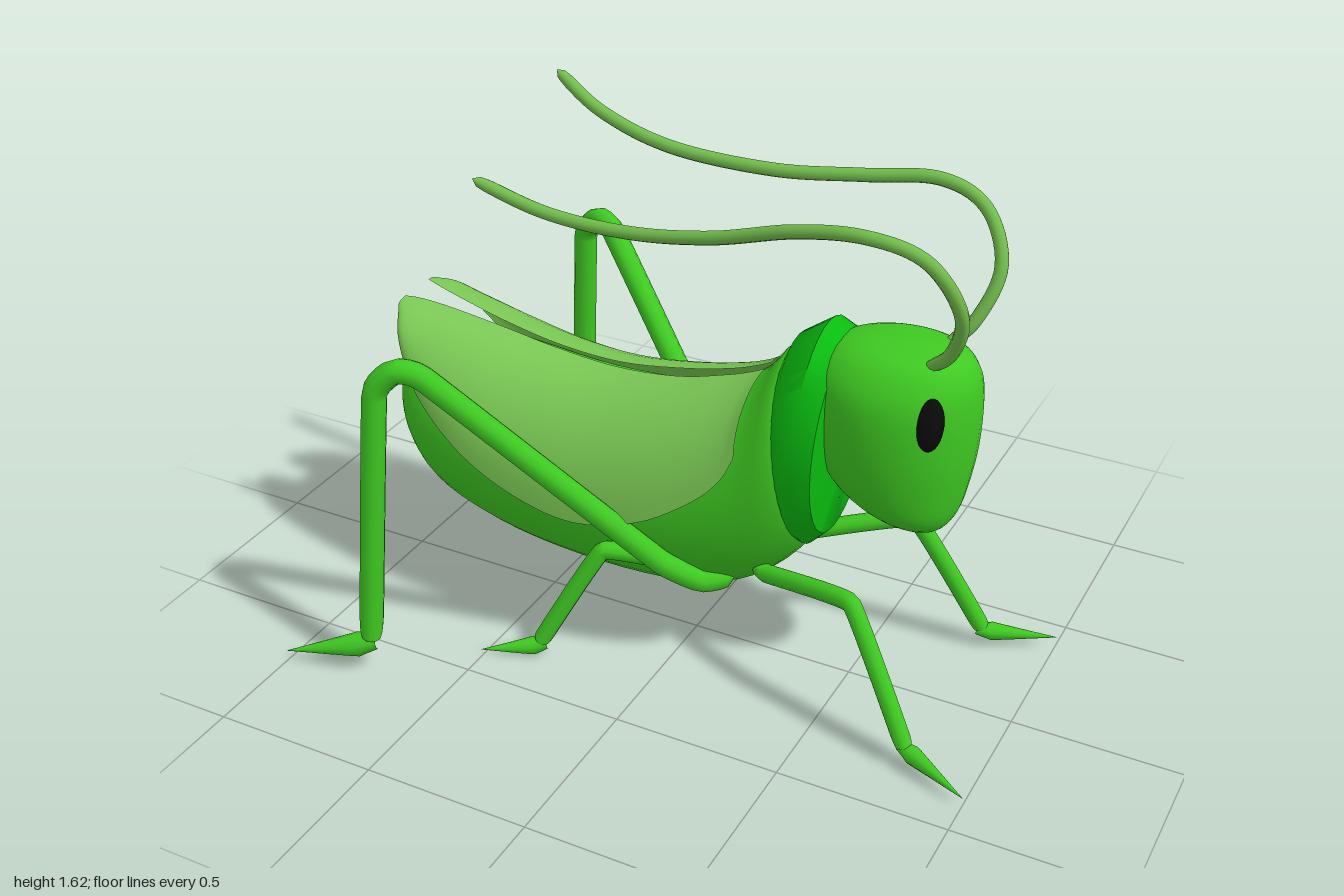
import * as THREE from 'three';
import { toCreasedNormals } from 'three/addons/utils/BufferGeometryUtils.js';

const V = (x, y, z) => new THREE.Vector3(x, y, z);
const material = (color, extra = {}) => new THREE.MeshStandardMaterial({ color, ...extra });
const green = material(0x3fca22);
const collarGreen = material(0x0abc10);
const wingGreen = material(0x7ac854, { side: THREE.DoubleSide });
const feelerGreen = material(0x72bd4c);
const black = material(0x0a0a0a);

function part(name, geometry, mat) {
  const mesh = new THREE.Mesh(geometry, mat);
  mesh.name = name;
  return mesh;
}

// Surface through rows of points; closed rows wrap around
function skin(rows, closed) {
  const n = rows[0].length;
  const index = [];
  for (let i = 0; i < rows.length - 1; i++) {
    for (let j = 0; j < (closed ? n : n - 1); j++) {
      const k = (j + 1) % n;
      const a = i * n + j, b = i * n + k, c = a + n, d = b + n;
      index.push(a, b, c, b, d, c);
    }
  }
  const g = new THREE.BufferGeometry().setFromPoints(rows.flat());
  g.setIndex(index);
  g.computeVertexNormals();
  return g;
}

// Elliptical sections [x1, y1, x2, y2, halfWidth]: two ends of one axis, half width along z
function loft(sections, steps, n = 36) {
  const top = new THREE.CatmullRomCurve3(sections.map(s => V(s[0], s[1], s[4])), false, 'catmullrom');
  const low = new THREE.CatmullRomCurve3(sections.map(s => V(s[2], s[3], 0)), false, 'catmullrom');
  const count = (sections.length - 1) * steps;
  const rows = [];
  for (let i = 0; i <= count; i++) {
    const t = top.getPoint(i / count), b = low.getPoint(i / count);
    const row = [];
    for (let j = 0; j < n; j++) {
      const a = j / n * Math.PI * 2, f = (1 + Math.cos(a)) / 2;
      row.push(V(b.x + (t.x - b.x) * f, b.y + (t.y - b.y) * f, t.z * Math.sin(a)));
    }
    rows.push(row);
  }
  return skin(rows, true);
}

// Tube along points whose radius follows profile(t); side mirrors z
function limb(points, side, radius, profile, tension, segments = 60) {
  const curve = new THREE.CatmullRomCurve3(points.map(p => V(p[0], p[1], p[2] * side)), false, 'catmullrom', tension);
  const radial = 10;
  const g = new THREE.TubeGeometry(curve, segments, radius, radial);
  const pos = g.attributes.position, v = V(0, 0, 0);
  for (let i = 0; i <= segments; i++) {
    const c = curve.getPointAt(i / segments), k = profile(i / segments);
    for (let j = 0; j <= radial; j++) {
      const id = i * (radial + 1) + j;
      v.fromBufferAttribute(pos, id).sub(c).multiplyScalar(k).add(c);
      pos.setXYZ(id, v.x, v.y, v.z);
    }
  }
  return g;
}
const rounded = t => Math.sqrt(Math.max(0, 1 - Math.pow(Math.abs(2 * t - 1), 40)));
const pointed = t => t < 0.2 ? 0.6 + 2 * t : 1.25 * (1 - t) + 0.02;

// Wing rows [x, top y, bottom y, inner z, outer z], arched over the body
function wing(side) {
  const s = [
    [-0.94, 0.94, 0.925, 0.06, 0.10], [-0.89, 0.935, 0.85, 0.045, 0.18], [-0.8, 0.92, 0.72, 0.03, 0.235],
    [-0.64, 0.89, 0.595, 0.015, 0.275], [-0.45, 0.86, 0.51, 0.01, 0.29], [-0.25, 0.85, 0.48, 0.015, 0.295],
    [-0.05, 0.875, 0.53, 0.025, 0.28], [0.1, 0.915, 0.62, 0.02, 0.25], [0.18, 0.945, 0.7, 0.02, 0.228],
    [0.22, 0.965, 0.78, 0.02, 0.215]];
  const ys = new THREE.CatmullRomCurve3(s.map(r => V(r[0], r[1], r[2])), false, 'catmullrom');
  const zs = new THREE.CatmullRomCurve3(s.map(r => V(r[3], r[4], 0)), false, 'catmullrom');
  const rows = [];
  for (let i = 0; i <= 45; i++) {
    const p = ys.getPoint(i / 45), q = zs.getPoint(i / 45), row = [];
    for (let j = 0; j <= 12; j++) {
      const a = j / 12 * Math.PI / 2;
      row.push(V(p.x, p.z + (p.y - p.z) * Math.cos(a), side * (q.x + (q.y - q.x) * Math.sin(a))));
    }
    rows.push(row);
  }
  return skin(rows, false);
}

const legs = {
  hindLeg: {
    r: 0.036,
    path: [[0.18, 0.315, 0.11], [0.1, 0.315, 0.17], [0.0, 0.39, 0.235], [-0.56, 0.985, 0.525],
      [-0.63, 1.005, 0.555], [-0.69, 0.93, 0.575], [-0.75, 0.1, 0.62]],
    foot: [[-0.735, 0.105, 0.612], [-0.82, 0.085, 0.645], [-1, 0.04, 0.7]],
  },
  middleLeg: {
    r: 0.027,
    path: [[0.1, 0.33, 0.11], [0.04, 0.34, 0.15], [-0.18, 0.375, 0.245], [-0.355, 0.045, 0.33]],
    foot: [[-0.335, 0.042, 0.322], [-0.39, 0.032, 0.35], [-0.51, 0.018, 0.41]],
  },
  frontLeg: {
    r: 0.027,
    path: [[0.24, 0.385, 0.09], [0.28, 0.365, 0.12], [0.59, 0.435, 0.235], [0.8, 0.06, 0.31]],
    foot: [[0.78, 0.062, 0.3], [0.84, 0.055, 0.325], [1, 0.038, 0.4]],
  },
};

export function createModel() {
  const model = new THREE.Group();
  model.name = 'grasshopper';

  // Abdomen and thorax
  model.add(part('body', loft([
    [-0.965, 0.66, -0.965, 0.65, 0], [-0.95, 0.76, -0.945, 0.5, 0.1], [-0.9, 0.83, -0.89, 0.38, 0.165],
    [-0.8, 0.855, -0.78, 0.285, 0.2], [-0.58, 0.835, -0.55, 0.215, 0.22], [-0.3, 0.815, -0.25, 0.192, 0.23],
    [0, 0.845, 0.02, 0.212, 0.228], [0.2, 0.94, 0.22, 0.29, 0.218], [0.3, 1.05, 0.38, 0.46, 0.2],
    [0.38, 0.98, 0.42, 0.6, 0.1]], 4), green));

  // Slanted collar behind the head
  model.add(part('collar', toCreasedNormals(loft([
    [0.28, 1.02, 0.36, 0.47, 0.19], [0.31, 1.085, 0.37, 0.455, 0.21], [0.4, 1.15, 0.385, 0.45, 0.225],
    [0.465, 1.115, 0.435, 0.505, 0.218], [0.47, 0.85, 0.465, 0.75, 0]], 1), 0.7), collarGreen));

  // Head, built from chin to crown
  model.add(part('head', loft([
    [0.7, 0.588, 0.71, 0.588, 0], [0.635, 0.6, 0.755, 0.6, 0.065], [0.52, 0.65, 0.79, 0.65, 0.13],
    [0.42, 0.73, 0.812, 0.73, 0.168], [0.37, 0.86, 0.832, 0.86, 0.192], [0.36, 1.0, 0.835, 1.0, 0.194],
    [0.39, 1.08, 0.82, 1.08, 0.165], [0.47, 1.13, 0.775, 1.13, 0.11], [0.62, 1.15, 0.66, 1.15, 0]], 4), green));

  for (const side of [1, -1]) {
    const prefix = side > 0 ? 'near' : 'far';

    const eye = part(prefix + 'Eye', new THREE.SphereGeometry(1, 24, 16), black);
    eye.scale.set(0.037, 0.075, 0.034);
    eye.position.set(0.748, 0.99, side * 0.142);
    eye.rotation.set(side * -0.12, side * 0.4, 0);
    model.add(eye);

    model.add(part(prefix + 'Wing', wing(side), wingGreen));

    for (const [name, leg] of Object.entries(legs)) {
      const group = new THREE.Group();
      group.name = prefix + name[0].toUpperCase() + name.slice(1);
      group.add(part('shank', limb(leg.path, side, leg.r, rounded, 0.12, 90), green));
      group.add(part('foot', limb(leg.foot, side, leg.r, pointed, 0.5, 20), green));
      model.add(group);
    }
  }

  // Long swept-back antennae, each with its own curve
  const antennae = {
    nearAntenna: [[0.7, 1.11, 0.07], [0.78, 1.19, 0.105], [0.82, 1.34, 0.17], [0.75, 1.5, 0.245], [0.6, 1.545, 0.27],
      [0.4, 1.51, 0.25], [0.15, 1.425, 0.215], [-0.1, 1.378, 0.195], [-0.35, 1.385, 0.2], [-0.57, 1.45, 0.22]],
    farAntenna: [[0.7, 1.11, -0.07], [0.77, 1.19, -0.1], [0.81, 1.33, -0.155], [0.74, 1.46, -0.21], [0.6, 1.508, -0.23],
      [0.4, 1.49, -0.2], [0.15, 1.472, -0.16], [-0.15, 1.485, -0.145], [-0.38, 1.54, -0.165], [-0.54, 1.63, -0.19]],
  };
  for (const [name, path] of Object.entries(antennae)) {
    model.add(part(name, limb(path, 1, 0.019, rounded, 0.5, 90), feelerGreen));
  }
  return model;
}
